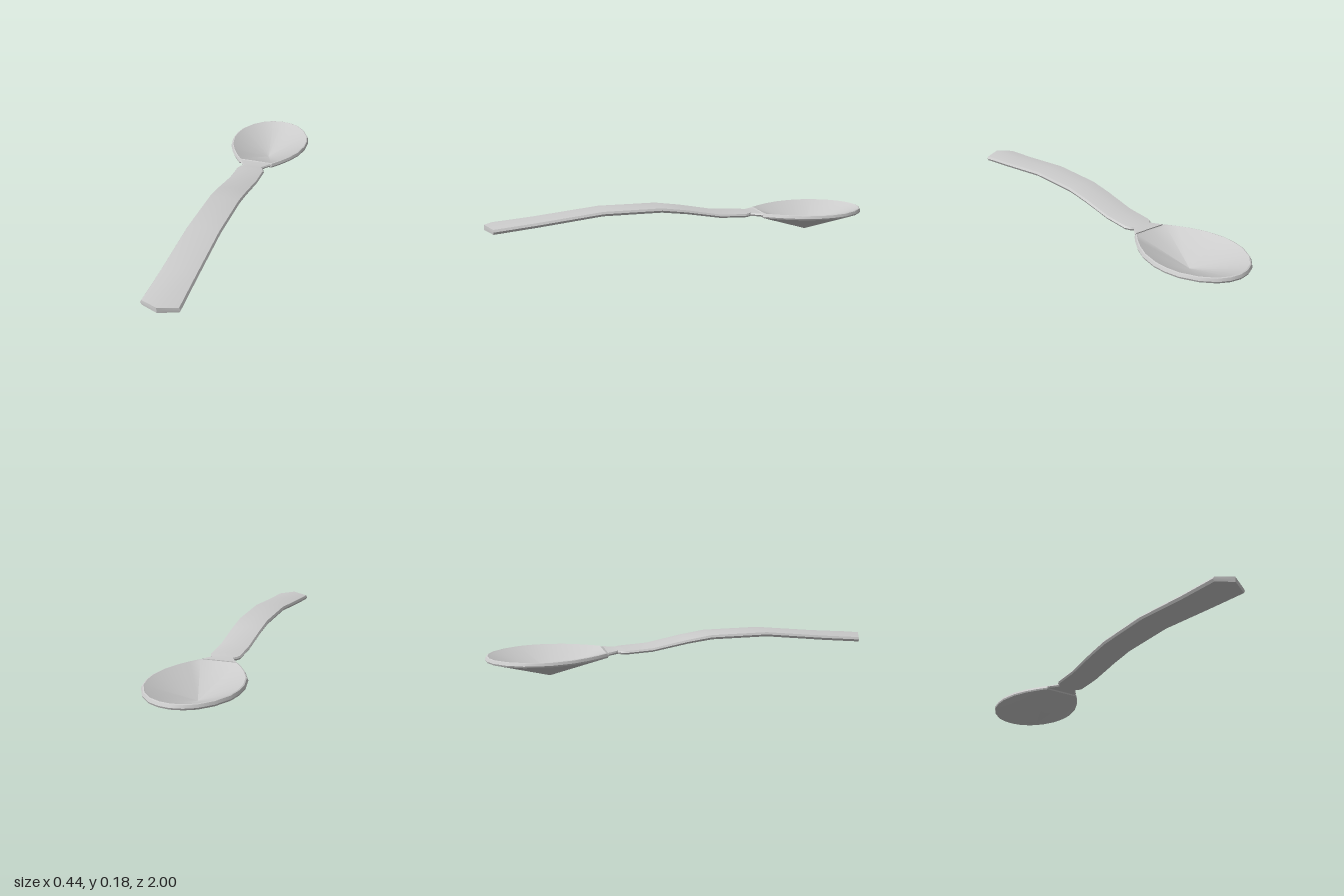
import * as THREE from 'three';
import { toCreasedNormals } from 'three/addons/utils/BufferGeometryUtils.js';

// Skins closed rings of points; a ring collapsed to one point closes an end.
function loft(rings, crease) {
  const pos = [];
  const tri = (a, b, c) => {
    const area = b.clone().sub(a).cross(c.clone().sub(a)).length();
    if (area > 1e-9) for (const p of [a, b, c]) pos.push(p.x, p.y, p.z);
  };
  for (let i = 0; i < rings.length - 1; i++) {
    const n = rings[i].length;
    for (let j = 0; j < n; j++) {
      const k = (j + 1) % n;
      const a = rings[i][j], b = rings[i][k], c = rings[i + 1][k], d = rings[i + 1][j];
      tri(a, b, c);
      tri(a, c, d);
    }
  }
  const g = new THREE.BufferGeometry();
  g.setAttribute('position', new THREE.Float32BufferAttribute(pos, 3));
  return toCreasedNormals(g, crease);
}

const v = (x, y, z) => new THREE.Vector3(x, y, z);

// Chevron-crowned strip section; the tip offset points its middle forward.
function section([z, w, top, thick, crown, tip = 0]) {
  const e = w * 0.92, bottom = top - thick;
  return [
    v(0, bottom, z + tip),
    v(e, bottom - crown * 0.8, z),
    v(w, top - crown - thick * 0.45, z),
    v(e, top - crown, z),
    v(0, top, z + tip),
    v(-e, top - crown, z),
    v(-w, top - crown - thick * 0.45, z),
    v(-e, bottom - crown * 0.8, z),
  ];
}

function handleGeometry() {
  // z, half width, top height, thickness, crown, tip
  const rows = [
    [-0.41, 0.092, 0.121, 0.016, 0.001],
    [-0.38, 0.07, 0.122, 0.016, 0.002],
    [-0.355, 0.052, 0.124, 0.017, 0.003],
    [-0.34, 0.068, 0.126, 0.018, 0.005],
    [-0.315, 0.078, 0.128, 0.019, 0.007],
    [-0.18, 0.079, 0.137, 0.02, 0.009],
    [0, 0.081, 0.17, 0.022, 0.009],
    [0.13, 0.082, 0.188, 0.024, 0.009],
    [0.43, 0.084, 0.188, 0.024, 0.009],
    [0.75, 0.087, 0.153, 0.025, 0.009],
    [0.96, 0.092, 0.134, 0.026, 0.009, 0.04],
  ];
  const rings = rows.map(section);
  rings.unshift(rings[0].map(() => v(0, 0.113, -0.41)));
  rings.push(rings[1].map(() => v(0, 0.121, 1)));
  return loft(rings, 0.5);
}

function bowlGeometry() {
  const cz = -0.69;
  // Half outline from the neck chord round to the far end
  const half = [
    [0.094, -0.41], [0.132, -0.46], [0.169, -0.52], [0.203, -0.595], [0.222, -0.69],
    [0.22, -0.76], [0.205, -0.83], [0.162, -0.91], [0.108, -0.965], [0.055, -0.991],
  ];
  const outline = [[0, -0.41], ...half, [0, -1], ...half.map(([x, z]) => [-x, z]).reverse()];
  // Height and inset from the outer edge: underside, rim, hollow
  const profile = [[0.005, null], [0.098, 0.003], [0.106, 0], [0.119, 0.006], [0.121, 0.012], [0.117, 0.02], [0.022, null]];
  const rings = profile.map(([y, inset]) => outline.map(([x, z]) => {
    if (inset === null) return v(0, y, cz);
    const s = 1 - inset / Math.hypot(x, z - cz);
    return v(x * s, y, cz + (z - cz) * s);
  }));
  return loft(rings, 0.6);
}

export function createModel() {
  const group = new THREE.Group();
  group.name = 'spoon';
  const material = new THREE.MeshStandardMaterial({ color: 0xcccccc });
  const add = (name, geometry) => {
    const mesh = new THREE.Mesh(geometry, material);
    mesh.name = name;
    group.add(mesh);
  };
  add('handle', handleGeometry());
  add('bowl', bowlGeometry());
  // Rest the bowl's lowest point on the ground
  group.position.y = -new THREE.Box3().setFromObject(group).min.y;
  return group;
}
